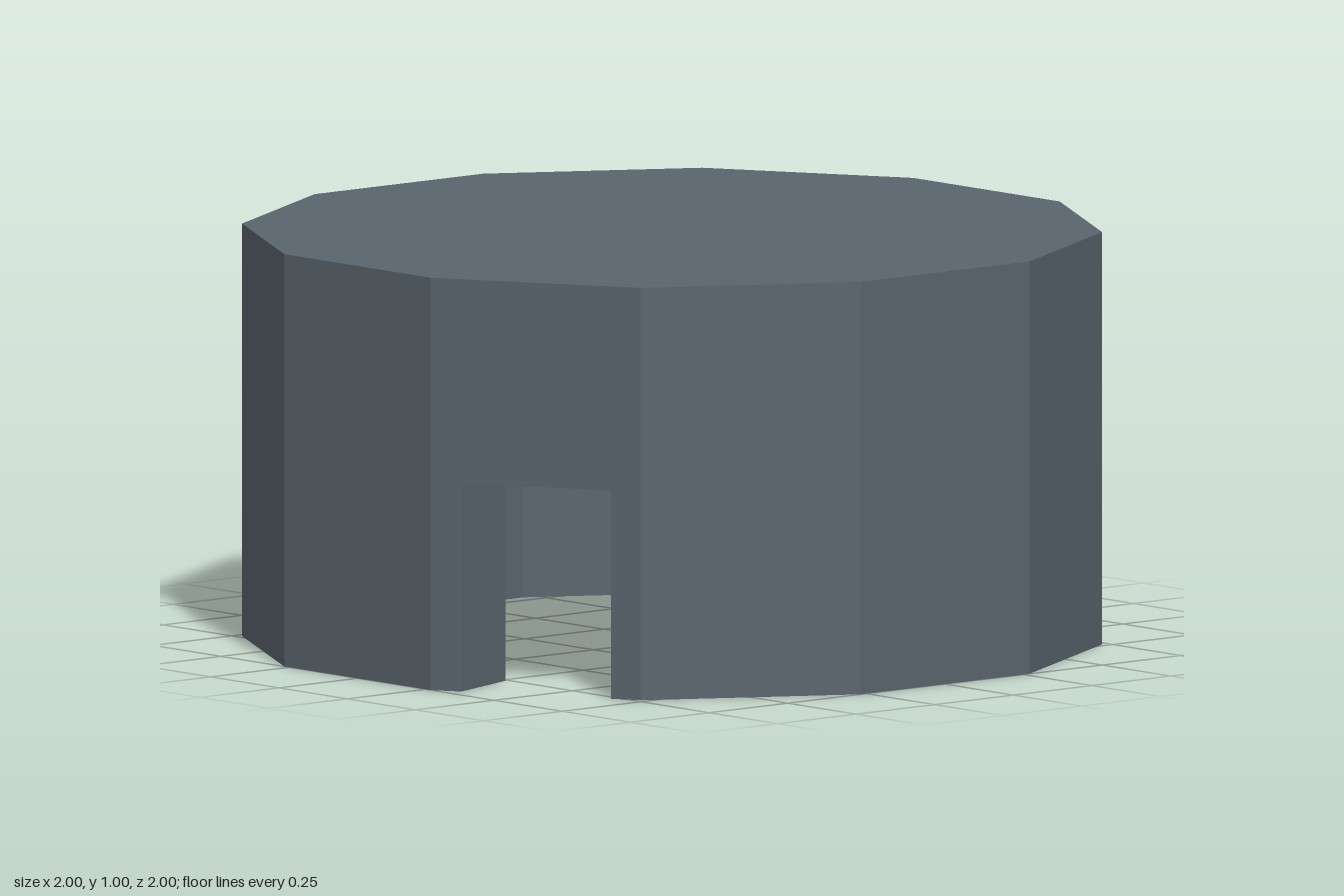
import * as THREE from 'three';

const SIDES = 12;
const HEIGHT = 1;
const CEILING = 0.96;
const INNER = 0.79;          // inner wall as a fraction of the outer one
const DOOR_SIDE = 5;         // side that holds the doorway
const DOOR_HALF = 0.19;
const DOOR_HEIGHT = 0.505;

// Plan outline as [x, z] corners, with the two doorway corners inserted
function planOutline() {
  const step = (Math.PI * 2) / SIDES;
  const radius = 1 / Math.cos(step / 2);
  const points = [];
  let doorIndex = 0;
  for (let i = 0; i < SIDES; i++) {
    const mid = i * step;
    const start = mid - step / 2;
    points.push([radius * Math.cos(start), radius * Math.sin(start)]);
    if (i === DOOR_SIDE) {
      doorIndex = points.length;
      for (const s of [-DOOR_HALF, DOOR_HALF]) {
        points.push([Math.cos(mid) - s * Math.sin(mid), Math.sin(mid) + s * Math.cos(mid)]);
      }
    }
  }
  return { points, doorIndex };
}

const outer = ([x, z], y) => [x, y, z];
const inner = ([x, z], y) => [x * INNER, y, z * INNER];

function faceMesh(name, faces, material) {
  const positions = [];
  for (const face of faces) {
    for (let i = 1; i < face.length - 1; i++) positions.push(...face[0], ...face[i], ...face[i + 1]);
  }
  const geometry = new THREE.BufferGeometry();
  geometry.setAttribute('position', new THREE.Float32BufferAttribute(positions, 3));
  geometry.computeVertexNormals();
  const mesh = new THREE.Mesh(geometry, material);
  mesh.name = name;
  return mesh;
}

export function createModel() {
  const slate = new THREE.MeshStandardMaterial({ color: 0x59646d });
  slate.name = 'slateGrey';

  const { points, doorIndex } = planOutline();
  const outside = [], inside = [], underside = [], jambs = [], roof = [], ceiling = [];

  points.forEach((p, i) => {
    const q = points[(i + 1) % points.length];
    const isDoor = i === doorIndex;
    const base = isDoor ? DOOR_HEIGHT : 0;
    // Wall panel, thickness below it, and its slices of roof and ceiling
    outside.push([outer(q, base), outer(p, base), outer(p, HEIGHT), outer(q, HEIGHT)]);
    inside.push([inner(p, base), inner(q, base), inner(q, CEILING), inner(p, CEILING)]);
    (isDoor ? jambs : underside).push([outer(p, base), outer(q, base), inner(q, base), inner(p, base)]);
    roof.push([[0, HEIGHT, 0], outer(q, HEIGHT), outer(p, HEIGHT)]);
    ceiling.push([[0, CEILING, 0], inner(p, CEILING), inner(q, CEILING)]);
    // Radial sides of the doorway
    if (isDoor) {
      jambs.push([outer(p, 0), outer(p, base), inner(p, base), inner(p, 0)]);
      jambs.push([inner(q, 0), inner(q, base), outer(q, base), outer(q, 0)]);
    }
  });

  const group = new THREE.Group();
  group.name = 'hollowDrum';
  group.add(
    faceMesh('outerWall', outside, slate),
    faceMesh('innerWall', inside, slate),
    faceMesh('wallUnderside', underside, slate),
    faceMesh('doorwayFrame', jambs, slate),
    faceMesh('roof', roof, slate),
    faceMesh('ceiling', ceiling, slate)
  );
  return group;
}
